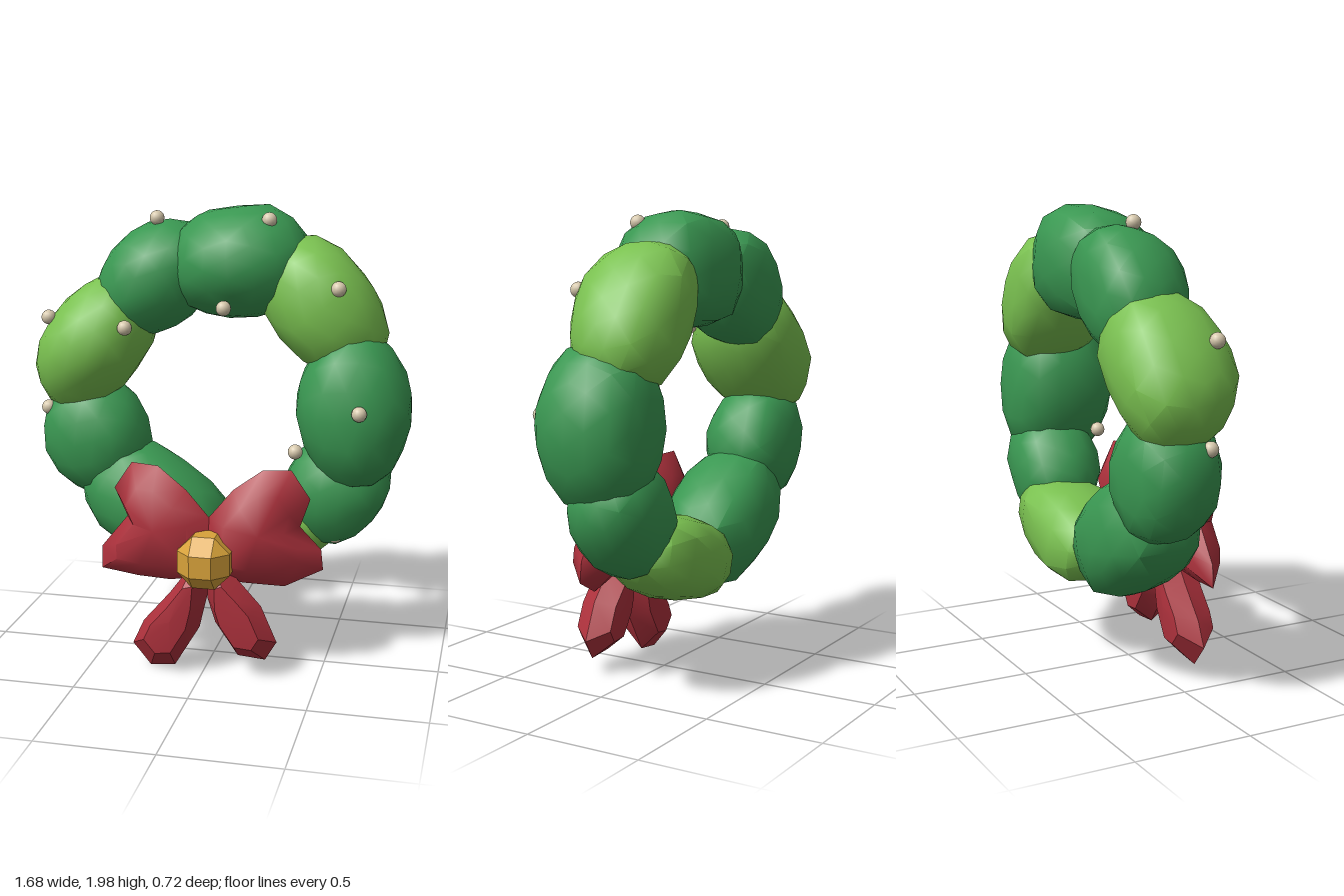
import * as THREE from 'three';
import { mergeVertices, toCreasedNormals } from 'three/addons/utils/BufferGeometryUtils.js';
import { ConvexGeometry } from 'three/addons/geometries/ConvexGeometry.js';

const material = (name, color) => Object.assign(new THREE.MeshStandardMaterial({ color }), { name });

// Chunky clump: rounded at the front, squarer and flared at the back, slightly irregular
function clumpGeometry([a, b, c], [flareLength, flareWidth], seed) {
  let geo = new THREE.IcosahedronGeometry(1, 2);
  geo.deleteAttribute('uv');
  geo.deleteAttribute('normal');
  geo = mergeVertices(geo, 1e-3);
  const pos = geo.attributes.position;
  const v = new THREE.Vector3();
  for (let i = 0; i < pos.count; i++) {
    v.fromBufferAttribute(pos, i);
    const p = 2.1 + 0.8 * Math.max(0, -v.z);
    const norm = (Math.abs(v.x) ** p + Math.abs(v.y) ** p + Math.abs(v.z) ** p) ** (1 / p);
    const bump = 1 + 0.03 * Math.sin(5 * v.x + seed * 2.1) * Math.sin(4 * v.y + seed);
    v.multiplyScalar(bump / norm);
    pos.setXYZ(i, v.x * a * (1 - flareLength * v.z), v.y * b * (1 - flareWidth * v.z), v.z * c);
  }
  return toCreasedNormals(geo, 0.7);
}

// Padded ribbon piece: a counter-clockwise outline bulging to the front and back
function puffGeometry(outline, [cx, cy], thick, inset, depthAt, crease) {
  const n = outline.length;
  const verts = [], index = [];
  const rings = [[inset, -0.9], [1, 0], [inset, 0.9]];
  for (const [s, k] of rings) {
    for (const [x, y] of outline) {
      const px = cx + (x - cx) * s, py = cy + (y - cy) * s;
      verts.push(px, py, depthAt(px, py) + k * thick);
    }
  }
  const back = verts.length / 3, front = back + 1;
  verts.push(cx, cy, depthAt(cx, cy) - thick, cx, cy, depthAt(cx, cy) + thick);
  for (let i = 0; i < n; i++) {
    const j = (i + 1) % n;
    for (let r = 0; r < 2; r++) {
      const a = r * n + i, b = r * n + j;
      index.push(a, b, b + n, a, b + n, a + n);
    }
    index.push(back, j, i, front, 2 * n + i, 2 * n + j);
  }
  const geo = new THREE.BufferGeometry();
  geo.setAttribute('position', new THREE.Float32BufferAttribute(verts, 3));
  geo.setIndex(index);
  return toCreasedNormals(geo, crease);
}

// Faceted knot: a cube with every edge and corner cut off
function knotGeometry(r) {
  const k = r * 0.42, m = r * 0.576;
  const points = [];
  for (const x of [-1, 1]) for (const y of [-1, 1]) for (const z of [-1, 1]) {
    points.push(
      new THREE.Vector3(x * k, y * k, z * r), new THREE.Vector3(x * k, y * r, z * k),
      new THREE.Vector3(x * r, y * k, z * k), new THREE.Vector3(x * m, y * m, z * m));
  }
  return new ConvexGeometry(points);
}

export function createModel() {
  const model = new THREE.Group();
  model.name = 'wreath';
  const dark = material('dark green', 0x3a9852);
  const light = material('light green', 0x7ac150);
  const red = material('ribbon red', 0xad313c);
  const gold = material('gold', 0xd8a23a);
  const cream = material('berry cream', 0xd6c8ac);

  const add = (parent, name, geo, mat, x = 0, y = 0, z = 0) => {
    const mesh = new THREE.Mesh(geo, mat);
    mesh.name = name;
    mesh.position.set(x, y, z);
    parent.add(mesh);
    return mesh;
  };

  // Foliage ring: centre, half length / width / depth, flare along length / width, turn in degrees
  const foliage = new THREE.Group();
  foliage.name = 'foliage';
  model.add(foliage);
  const clumps = [
    [[0.083, 1.745, -0.11], [0.305, 0.24, 0.245], [0.03, 0.11], 5, dark],
    [[-0.3, 1.66, -0.135], [0.29, 0.22, 0.215], [0.08, 0.09], 42, dark],
    [[-0.565, 1.375, -0.11], [0.335, 0.218, 0.25], [0.08, 0], 52, light],
    [[-0.575, 0.95, -0.13], [0.27, 0.24, 0.2], [0, 0.03], 108, dark],
    [[-0.3, 0.645, -0.11], [0.36, 0.235, 0.23], [0.02, 0.02], -32, dark],
    [[0.215, 0.56, -0.13], [0.325, 0.18, 0.23], [0.14, 0.08], 15, light],
    [[0.515, 0.78, -0.115], [0.26, 0.22, 0.195], [0, -0.08], 55, dark],
    [[0.595, 1.14, -0.062], [0.345, 0.243, 0.245], [-0.02, -0.02], 93, dark],
    [[0.443, 1.57, -0.122], [0.335, 0.222, 0.235], [0.03, -0.06], -52, light],
  ];
  clumps.forEach(([centre, size, flare, turn, mat], i) => {
    const mesh = add(foliage, 'leafClump' + (i + 1), clumpGeometry(size, flare, i + 1), mat, ...centre);
    mesh.rotation.z = THREE.MathUtils.degToRad(turn);
  });

  // Berries
  const berries = new THREE.Group();
  berries.name = 'berries';
  model.add(berries);
  const berryGeo = new THREE.SphereGeometry(0.032, 14, 10);
  [
    [-0.28, 1.925, -0.125], [0.23, 1.937, -0.015], [0.06, 1.58, 0.095], [-0.37, 1.48, 0.09],
    [-0.742, 1.497, -0.01], [-0.768, 1.085, -0.05], [0.535, 1.672, 0.07], [0.645, 1.18, 0.18],
    [0.36, 0.965, 0.03], [0.53, 0.58, -0.035],
  ].forEach((p, i) => add(berries, 'berry' + (i + 1), berryGeo, cream, ...p));

  // Bow loops and tails
  const bow = new THREE.Group();
  bow.name = 'bow';
  model.add(bow);
  const loopDepth = (x, y) => 0.2 - 0.165 * Math.abs(x) - 0.045 * x - 0.04 * (y - 0.6);
  const rightLoop = [[0.02, 0.7], [-0.08, 0.81], [-0.21, 0.905], [-0.33, 0.91], [-0.41, 0.79], [-0.35, 0.67],
    [-0.47, 0.52], [-0.47, 0.42], [-0.3, 0.405], [-0.15, 0.405], [0.02, 0.44]];
  const leftLoop = [[0.02, 0.44], [0.17, 0.41], [0.34, 0.395], [0.5, 0.47], [0.49, 0.56], [0.4, 0.66],
    [0.44, 0.78], [0.36, 0.905], [0.24, 0.905], [0.12, 0.82], [0.02, 0.7]];
  add(bow, 'rightLoop', puffGeometry(rightLoop, [-0.21, 0.64], 0.09, 0.65, loopDepth, 0.9), red);
  add(bow, 'leftLoop', puffGeometry(leftLoop, [0.24, 0.64], 0.09, 0.65, loopDepth, 0.9), red);

  const tailDepth = () => 0.2;
  const rightTail = [[0.03, 0.52], [-0.04, 0.5], [-0.15, 0.35], [-0.27, 0.21], [-0.32, 0.1], [-0.24, 0.003],
    [-0.13, 0.015], [-0.02, 0.2], [0.015, 0.35]];
  const leftTail = [[0.01, 0.5], [0.015, 0.34], [0.05, 0.23], [0.15, 0.085], [0.27, 0.075], [0.32, 0.16],
    [0.25, 0.32], [0.15, 0.43], [0.06, 0.52]];
  add(bow, 'rightTail', puffGeometry(rightTail, [-0.13, 0.25], 0.1, 0.62, tailDepth, 0.3), red);
  add(bow, 'leftTail', puffGeometry(leftTail, [0.15, 0.27], 0.095, 0.62, tailDepth, 0.3), red);
  add(bow, 'knot', knotGeometry(0.114), gold, 0.02, 0.53, 0.25);

  return model;
}
